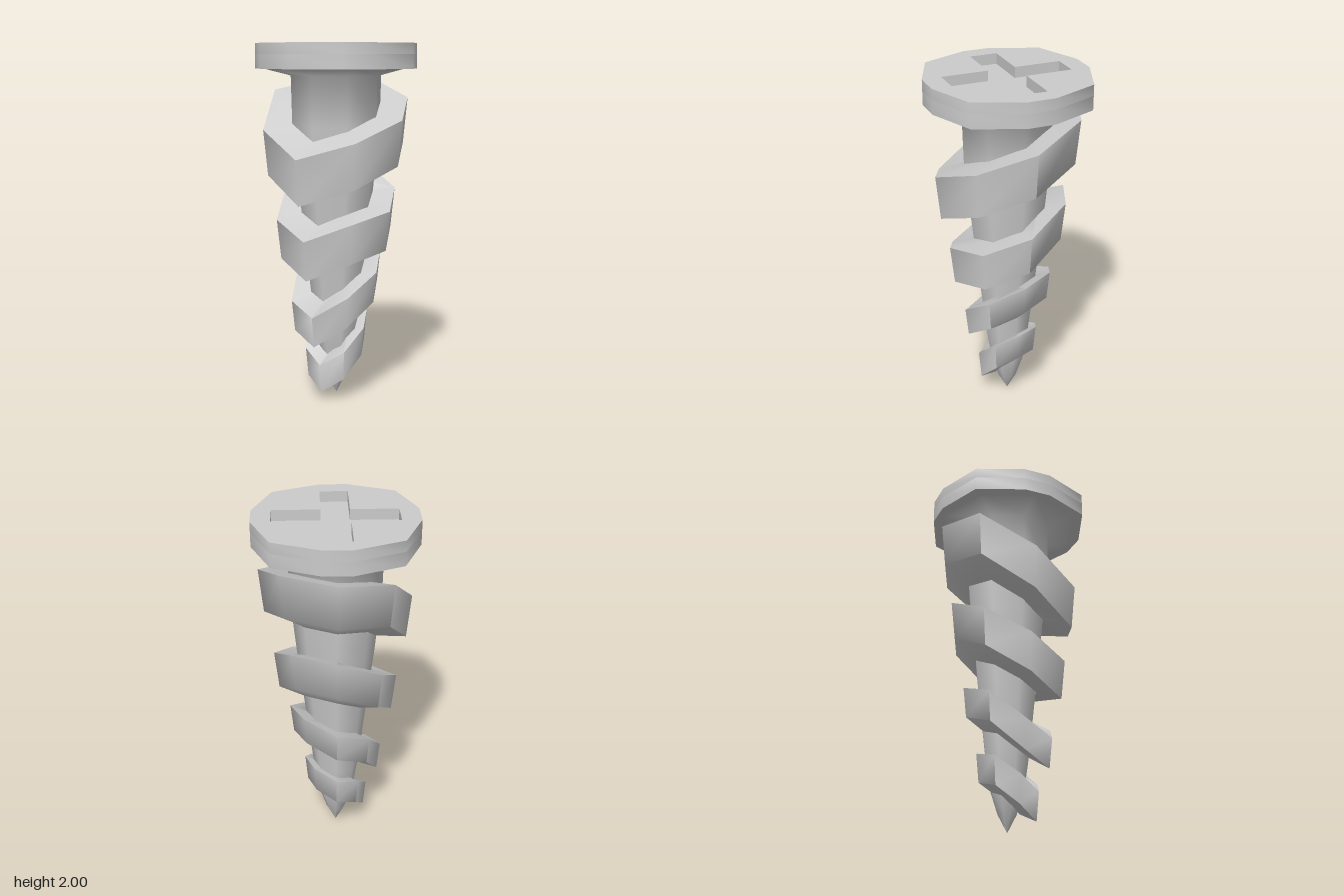
import * as THREE from 'three';
import { toCreasedNormals } from 'three/addons/utils/BufferGeometryUtils.js';

const material = new THREE.MeshStandardMaterial({ color: 0xcccccc });

function mesh(name, geometry) {
  const m = new THREE.Mesh(geometry, material);
  m.name = name;
  return m;
}

// One tilted thread ring, swept from a four-point cross-section.
// tops: height of the outer edge every 45 degrees from the front towards +x.
// The root is tilted less than the outer edge, so both flanks twist around the shaft.
function threadRing({ tops, outer, lower, height, inner, drop }) {
  const sides = tops.length, pos = [], index = [];
  const mean = tops.reduce((sum, t) => sum + t, 0) / sides;
  tops.forEach((top, i) => {
    const a = (i / sides) * Math.PI * 2;
    const section = [
      [inner, mean + (top - mean) * 0.5 - height - drop],
      [lower, top - height],
      [outer, top],
      [inner, mean + (top - mean) * 0.6],
    ];
    section.forEach(([r, h]) => pos.push(Math.sin(a) * r, h, Math.cos(a) * r));
    const n = ((i + 1) % sides) * 4;
    for (let j = 0; j < 4; j++) {
      const k = (j + 1) % 4;
      index.push(i * 4 + j, n + j, n + k, i * 4 + j, n + k, i * 4 + k);
    }
  });
  const g = new THREE.BufferGeometry();
  g.setAttribute('position', new THREE.Float32BufferAttribute(pos, 3));
  g.setIndex(index);
  return toCreasedNormals(g, 1.1);
}

// Horizontal slab from a plan outline
function slab(shape, y, depth) {
  const g = new THREE.ExtrudeGeometry(shape, { depth, bevelEnabled: false });
  g.rotateX(-Math.PI / 2).translate(0, y, 0);
  return toCreasedNormals(g, 1);
}

// Repeats corner points of one quadrant through four quarter turns
function fourfold(corners) {
  const pts = [];
  for (let q = 0; q < 4; q++) {
    for (const [x, y] of corners) {
      pts.push(new THREE.Vector2(x, y).rotateAround(new THREE.Vector2(), q * Math.PI / 2));
    }
  }
  return pts;
}

export function createModel() {
  const model = new THREE.Group();
  model.name = 'screw';

  // Head: solid base below, cross-shaped recess above
  const outline = fourfold([[0.44, -0.077], [0.44, 0.077], [0.335, 0.335]]);
  const cross = fourfold([[0.335, -0.077], [0.335, 0.077], [0.077, 0.077]]);
  const rim = new THREE.Shape(outline);
  rim.holes.push(new THREE.Path(cross));
  const head = new THREE.Group();
  head.name = 'head';
  head.add(mesh('headBase', slab(new THREE.Shape(outline), 1.863, 0.077)));
  head.add(mesh('headTopWithRecess', slab(rim, 1.94, 0.06)));
  model.add(head);

  // Tapered shaft with a pointed tip and a shallow cone under the head
  const profile = [
    [0, 0.005], [0.055, 0.11], [0.1, 0.25], [0.13, 0.45], [0.17, 0.8],
    [0.215, 1.2], [0.25, 1.55], [0.257, 1.825], [0.41, 1.864],
  ].map(([r, y]) => new THREE.Vector2(r, y));
  model.add(mesh('shaft', new THREE.LatheGeometry(profile, 8)));

  // Thread, shrinking towards the tip
  const thread = new THREE.Group();
  thread.name = 'thread';
  [
    { tops: [1.48, 1.59, 1.7, 1.8, 1.79, 1.74, 1.53, 1.39],
      outer: 0.413, lower: 0.388, height: 0.25, inner: 0.22, drop: 0.04 },
    { tops: [1.04, 1.09, 1.19, 1.31, 1.3, 1.18, 1.03, 0.94],
      outer: 0.342, lower: 0.318, height: 0.22, inner: 0.175, drop: 0.04 },
    { tops: [0.62, 0.74, 0.84, 0.865, 0.79, 0.72, 0.56, 0.5],
      outer: 0.26, lower: 0.242, height: 0.17, inner: 0.13, drop: 0.03 },
    { tops: [0.29, 0.41, 0.48, 0.48, 0.42, 0.38, 0.28, 0.21],
      outer: 0.18, lower: 0.165, height: 0.16, inner: 0.07, drop: 0.03 },
  ].forEach((ring, i) => thread.add(mesh('threadRing' + (i + 1), threadRing(ring))));
  model.add(thread);

  return model;
}
